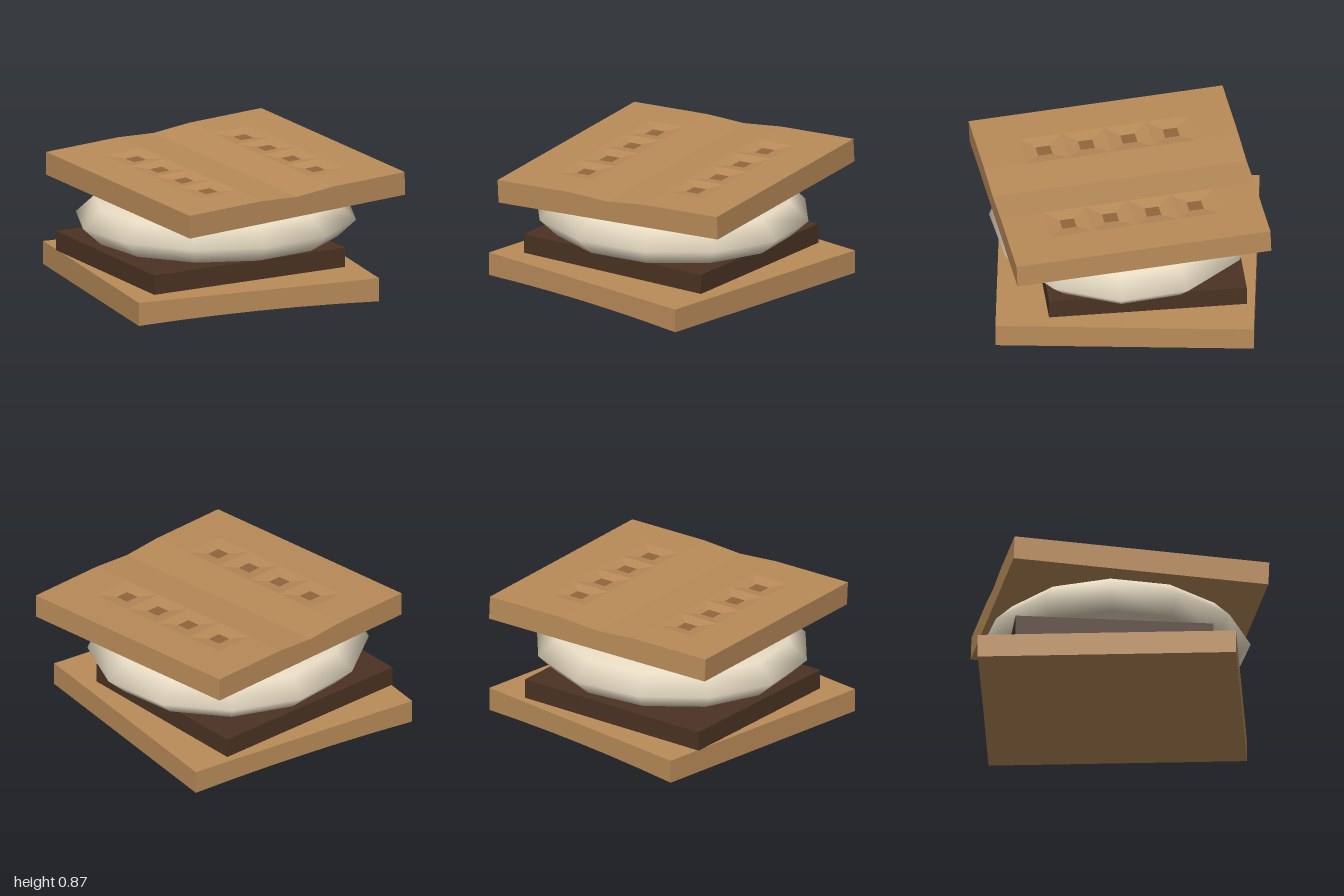
import * as THREE from 'three';

const HALF = 0.84, STEP = 0.28, THICK = 0.155;

const mat = (name, color) => {
  const m = new THREE.MeshStandardMaterial({ color });
  m.name = name;
  return m;
};

function quadMesh(name, quads, material) {
  const pos = [];
  for (const [a, b, c, d] of quads) for (const p of [a, b, c, a, c, d]) pos.push(...p);
  const geo = new THREE.BufferGeometry();
  geo.setAttribute('position', new THREE.Float32BufferAttribute(pos, 3));
  geo.computeVertexNormals();
  const mesh = new THREE.Mesh(geo, material);
  mesh.name = name;
  return mesh;
}

// Square biscuit on a 6 x 6 grid; top(x) and bottom(x) give its heights
function cracker(name, top, bottom, pitted, biscuit, toasted) {
  const group = new THREE.Group();
  group.name = name;
  const body = [], floors = [];
  for (let i = 0; i < 6; i++) {
    const x0 = -HALF + i * STEP, x1 = x0 + STEP;
    const t0 = top(x0), t1 = top(x1), b0 = bottom(x0), b1 = bottom(x1);
    // front and back walls, underside
    body.push([[x0, b0, HALF], [x1, b1, HALF], [x1, t1, HALF], [x0, t0, HALF]]);
    body.push([[x1, b1, -HALF], [x0, b0, -HALF], [x0, t0, -HALF], [x1, t1, -HALF]]);
    body.push([[x0, b0, -HALF], [x1, b1, -HALF], [x1, b1, HALF], [x0, b0, HALF]]);
    for (let j = 0; j < 6; j++) {
      const z0 = -HALF + j * STEP, z1 = z0 + STEP;
      const outer = [[x0, t0, z0], [x0, t0, z1], [x1, t1, z1], [x1, t1, z0]];
      if (!pitted || (i !== 1 && i !== 4) || j === 0 || j === 5) {
        body.push(outer);
        continue;
      }
      // shallow pit: four sloping walls down to a small square floor
      const cx = (x0 + x1) / 2, cz = (z0 + z1) / 2;
      const inner = outer.map(([x, y, z]) => [cx + (x - cx) * 0.34, y - 0.015, cz + (z - cz) * 0.34]);
      for (let k = 0; k < 4; k++) {
        const n = (k + 1) % 4;
        body.push([outer[k], outer[n], inner[n], inner[k]]);
      }
      floors.push(inner);
    }
  }
  // side walls
  for (const s of [1, -1]) {
    const x = s * HALF, t = top(x), b = bottom(x);
    body.push([[x, b, x], [x, b, -x], [x, t, -x], [x, t, x]]);
  }
  group.add(quadMesh(name + 'Body', body, biscuit));
  if (floors.length) group.add(quadMesh(name + 'Holes', floors, toasted));
  return group;
}

export function createModel() {
  const biscuit = mat('biscuit', 0xba8c59);
  const toasted = mat('toasted biscuit', 0x91663d);
  const chocolate = mat('chocolate', 0x4b3323);
  const cream = mat('marshmallow cream', 0xe6dac2);
  const model = new THREE.Group();
  model.name = 'biscuitSandwich';

  // bottom biscuit, slightly arched underneath
  const lower = cracker('bottomCracker', () => THICK, (x) => 0.02 * (1 - (x / HALF) ** 2), false, biscuit, toasted);
  lower.position.set(-0.08, 0, -0.05);
  model.add(lower);

  // chocolate slab
  const slab = new THREE.Mesh(new THREE.BoxGeometry(1.423, 0.13, 1.293), chocolate);
  slab.name = 'chocolateSlab';
  slab.position.set(-0.135, 0.22, -0.1);
  slab.rotation.y = 0.137;
  model.add(slab);

  // squashed marshmallow
  const puff = new THREE.Mesh(new THREE.SphereGeometry(1, 12, 6), cream);
  puff.name = 'marshmallow';
  puff.position.set(-0.055, 0.455, -0.028);
  puff.scale.set(0.93, 0.23, 0.878);
  model.add(puff);

  // top biscuit, tilted, with a centre groove and two rows of pits
  const groove = (x) => -0.02 * Math.max(0, 1 - Math.abs(x) / STEP);
  const upper = cracker('topCracker', groove, () => -THICK, true, biscuit, toasted);
  upper.position.y = 0.816;
  upper.rotation.set(0.034, 0.21, 0.0274, 'YXZ');
  model.add(upper);

  return model;
}
